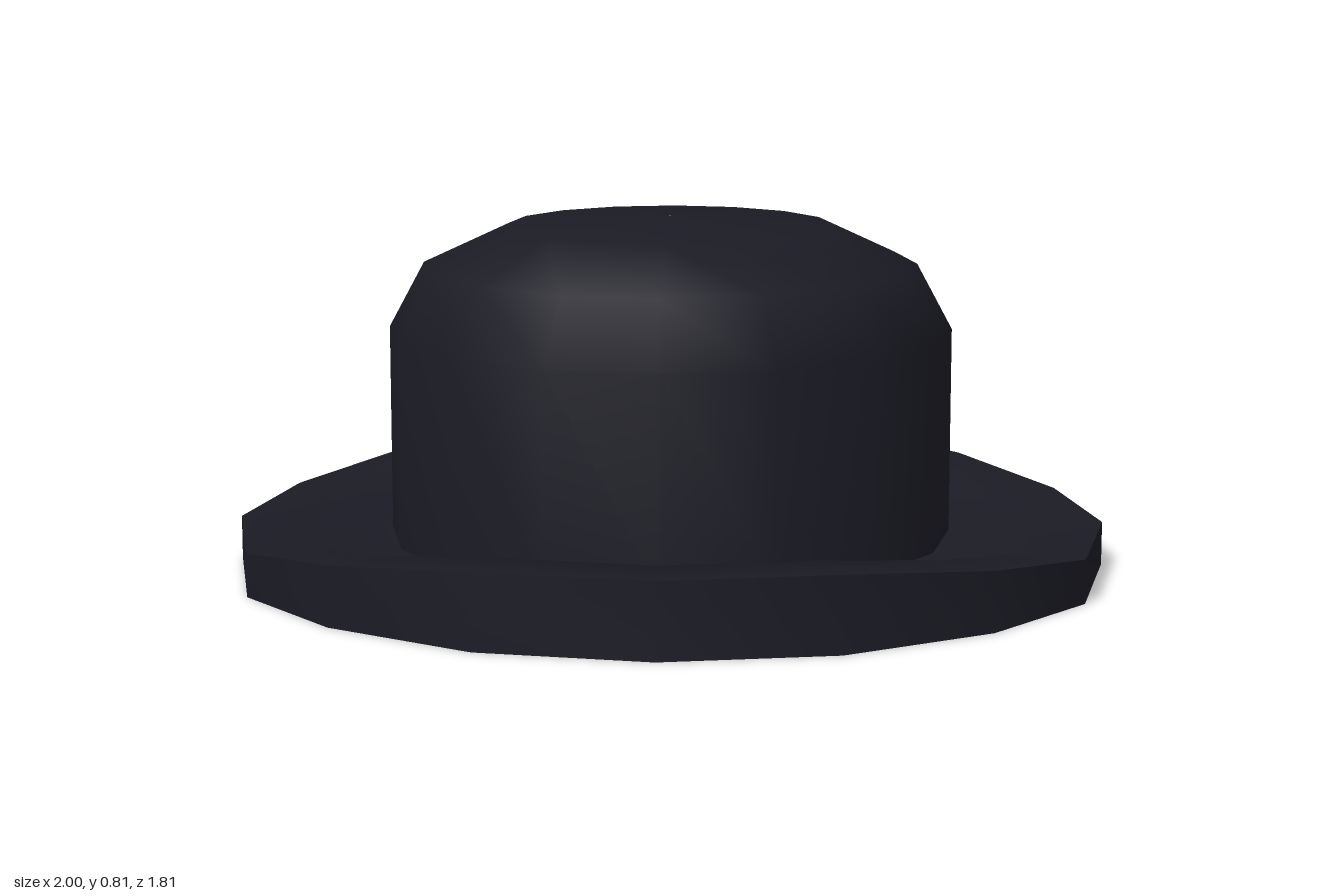
import * as THREE from 'three';

const SIDES = 16;
// Quarter-outline rules from front (0) to side (4): brim depth and rim height
const DEPTH = [0.905, 0.838, 0.645, 0.383, 0];
const RISE = [0.17, 0.17, 0.135, 0.1, 0.1];
const FLOOR = 0.08;
const quarter = (j) => { const k = j % 8; return k <= 4 ? k : 8 - k; };

// A round ring of points
function ring(r, y) {
  return Array.from({ length: SIDES }, (_, j) => {
    const a = (j / SIDES) * Math.PI * 2;
    return [Math.sin(a) * r, y, Math.cos(a) * r];
  });
}

// The brim outline, flattened at front and back; y is a number or a quarter rule
function outline(scale, y) {
  return ring(scale, 0).map(([x, , z], j) => {
    const k = quarter(j);
    return [x, Array.isArray(y) ? y[k] : y, Math.sign(z) * DEPTH[k] * scale];
  });
}

// Smooth surface through successive rings
function strip(rows) {
  const index = [];
  for (let i = 0; i < rows.length - 1; i++) {
    for (let j = 0; j < SIDES; j++) {
      const k = (j + 1) % SIDES;
      const a = i * SIDES + j, b = i * SIDES + k, c = a + SIDES, d = b + SIDES;
      index.push(a, b, c, b, d, c);
    }
  }
  const g = new THREE.BufferGeometry();
  g.setAttribute('position', new THREE.Float32BufferAttribute(rows.flat(2), 3));
  g.setIndex(index);
  g.computeVertexNormals();
  return g;
}

export function createModel() {
  const hat = new THREE.Group();
  hat.name = 'bowlerHat';
  const felt = new THREE.MeshStandardMaterial({ color: 0x1b1b25 });
  felt.name = 'darkFelt';
  const add = (name, geometry) => {
    const mesh = new THREE.Mesh(geometry, felt);
    mesh.name = name;
    hat.add(mesh);
  };

  // Rounded crown, closed by smooth rings up to the tip
  add('crown', strip([
    ring(0.646, FLOOR), ring(0.646, 0.55), ring(0.565, 0.7), ring(0.37, 0.79), ring(0.001, 0.808),
  ]));

  // Brim: rim rising at front and back, a short step down, then a level valley floor
  add('brimTop', strip([
    outline(1, RISE), outline(0.85, RISE), outline(0.838, FLOOR), ring(0.64, FLOOR),
  ]));
  add('brimEdge', strip([outline(1, 0), outline(1, RISE)]));
  add('brimUnderside', strip([ring(0.557, 0), outline(1, 0)]));

  // Head opening
  add('openingWall', strip([ring(0.557, 0.4), ring(0.557, 0)]));
  add('openingCeiling', strip([ring(0.001, 0.4), ring(0.557, 0.4)]));
  return hat;
}
